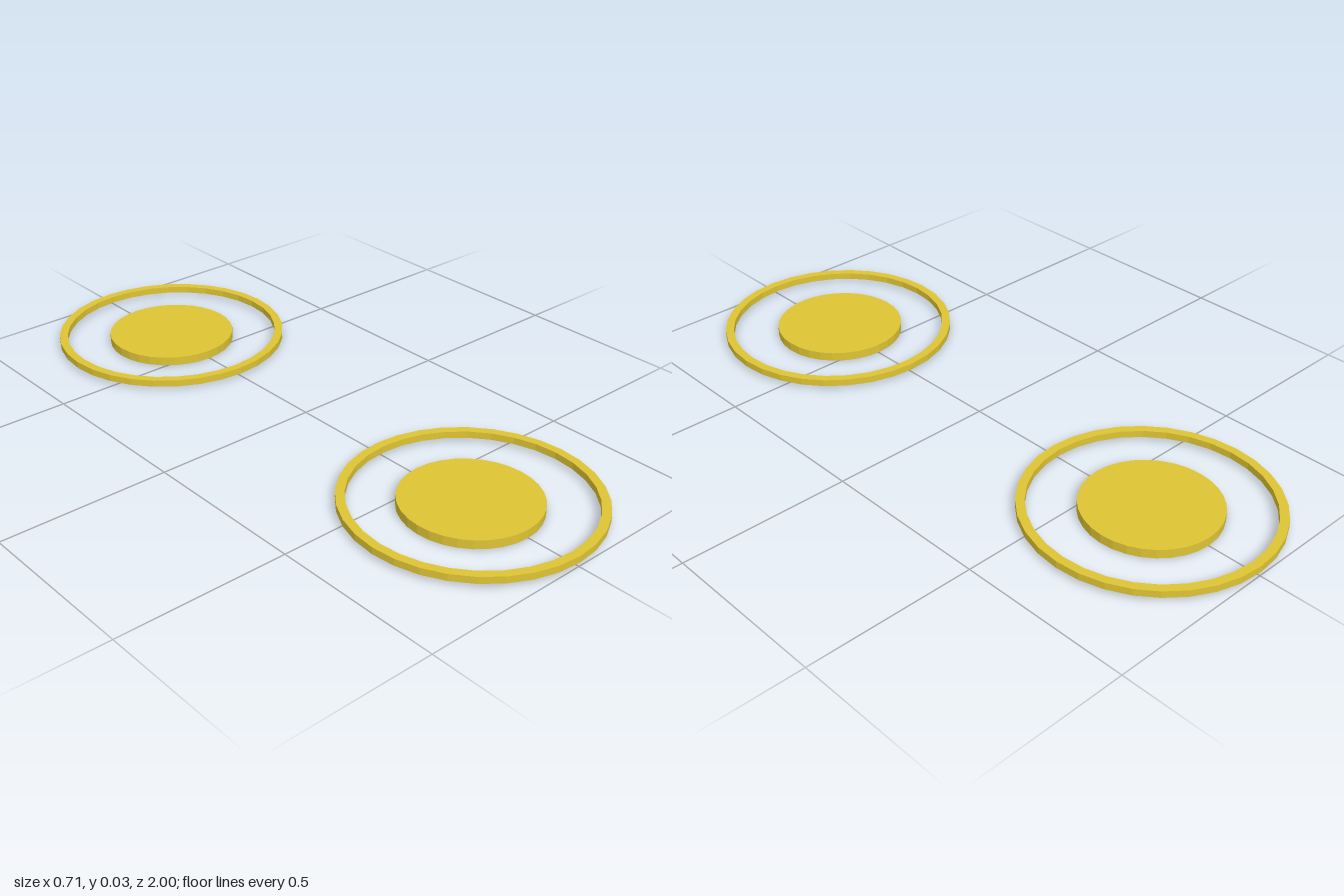
import * as THREE from 'three';

const SIDES = 32;

export function createModel() {
  const model = new THREE.Group();
  const material = new THREE.MeshStandardMaterial({ color: 0xdec434, flatShading: true });

  // Square-section band: outer wall, top, inner wall and underside
  const section = [[0.327, 0.01], [0.352, 0.01], [0.352, 0.03], [0.327, 0.03], [0.327, 0.01]];
  const ringGeometry = new THREE.LatheGeometry(section.map(([r, y]) => new THREE.Vector2(r, y)), SIDES);

  // Solid disc, set slightly lower than the band
  const discGeometry = new THREE.CylinderGeometry(0.193, 0.193, 0.026, SIDES);
  discGeometry.translate(0, 0.013, 0);

  // One disc-and-ring pair at each end
  for (const [end, side] of [['front', 1], ['back', -1]]) {
    const pair = new THREE.Group();
    pair.name = `${end}Pair`;
    pair.position.z = side * 0.648;

    const ring = new THREE.Mesh(ringGeometry, material);
    ring.name = `${end}Ring`;
    ring.position.x = side * 0.002;

    const disc = new THREE.Mesh(discGeometry, material);
    disc.name = `${end}Disc`;
    disc.position.x = -0.003;

    pair.add(ring, disc);
    model.add(pair);
  }
  return model;
}
